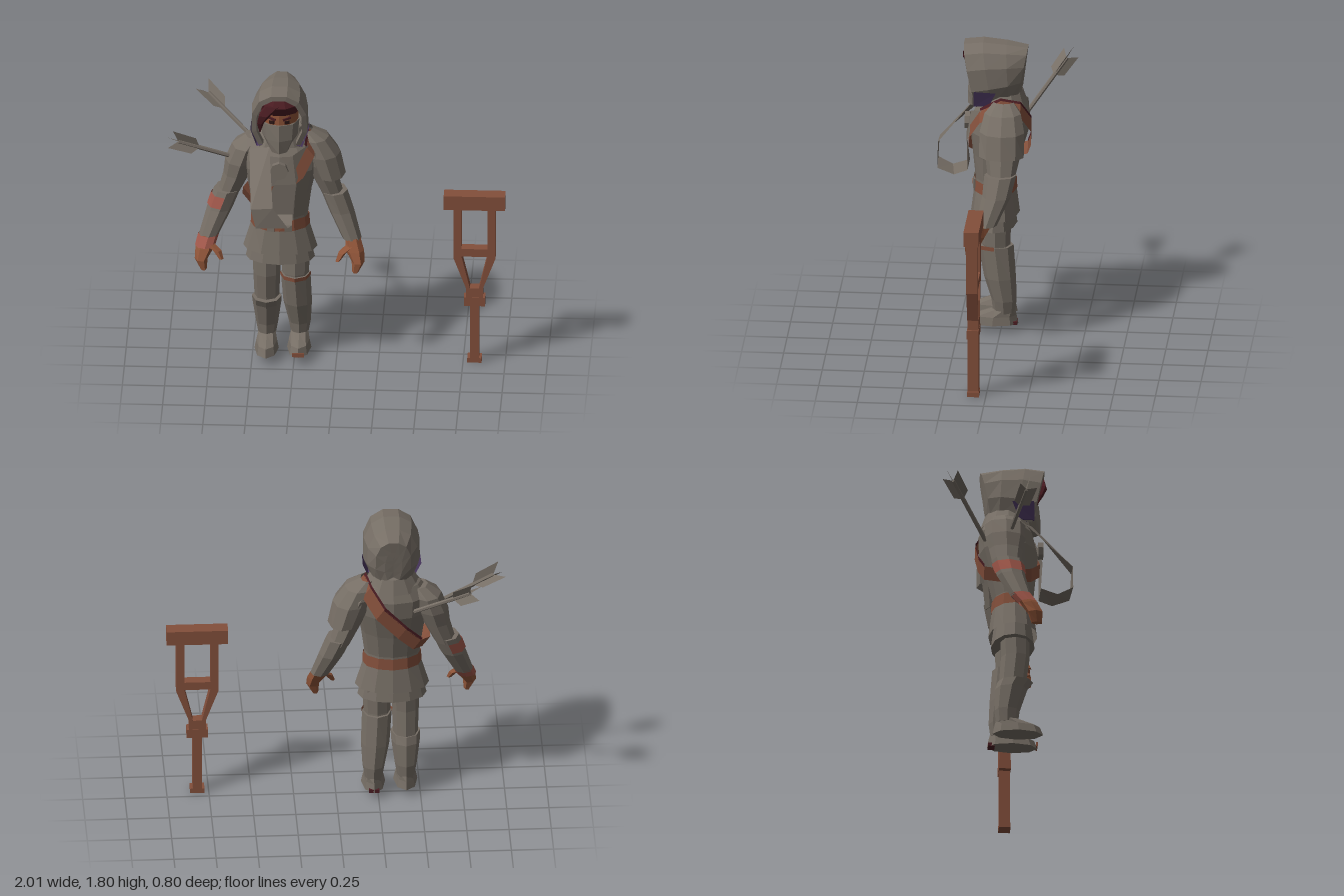
import * as THREE from 'three';

const mat = (name, color) => {
  const m = new THREE.MeshStandardMaterial({ color, flatShading: true, side: THREE.DoubleSide });
  m.name = name;
  return m;
};

export function createModel() {
  const cloth = mat('grey cloth', 0x766e65);
  const leather = mat('brown leather', 0x834f3b);
  const skinTone = mat('skin', 0x8f5438);
  const hairRed = mat('dark red', 0x4a1c22);
  const purple = mat('purple lining', 0x47355c);
  const bandage = mat('red bandage', 0xa0574a);
  const dark = mat('dark eye', 0x2c1614);

  const model = new THREE.Group();
  const figure = new THREE.Group();
  figure.name = 'figure';
  figure.position.x = -0.335;
  model.add(figure);

  const add = (name, geo, material, parent = figure) => {
    const m = new THREE.Mesh(geo, material);
    m.name = name;
    parent.add(m);
    return m;
  };
  // Surface through rows of points
  const skin = (rows, closed = false) => {
    const n = rows[0].length, idx = [];
    for (let r = 0; r < rows.length - 1; r++)
      for (let i = 0; i < (closed ? n : n - 1); i++) {
        const a = r * n + i, b = r * n + (i + 1) % n;
        idx.push(a, a + n, b, b, a + n, b + n);
      }
    const g = new THREE.BufferGeometry();
    g.setAttribute('position', new THREE.Float32BufferAttribute(rows.flat(2), 3));
    g.setIndex(idx);
    g.computeVertexNormals();
    return g;
  };
  // Horizontal ring from [y, x, z, rx, rz]
  const ring = ([y, x, z, rx, rz], n) => Array.from({ length: n }, (_, i) => {
    const a = i / n * Math.PI * 2;
    return [x + rx * Math.cos(a), y, z + rz * Math.sin(a)];
  });
  const loft = (rings, n = 8, capped = true) => {
    const cap = r => [r[0], r[1], r[2], 0, 0];
    const all = capped ? [cap(rings[0]), ...rings, cap(rings.at(-1))] : rings;
    return skin(all.map(r => ring(r, n)), true);
  };
  const box = (name, w, h, d, x, y, z, material, parent) => {
    const m = add(name, new THREE.BoxGeometry(w, h, d), material, parent);
    m.position.set(x, y, z);
    return m;
  };

  // Torso, collar, belt and two-layer tunic skirt
  add('torso', loft([[1.48, 0, -0.01, 0.1, 0.1], [1.44, 0, -0.01, 0.17, 0.125], [1.36, 0, 0, 0.23, 0.165],
    [1.25, 0, 0.015, 0.22, 0.175], [1.1, 0, 0.03, 0.185, 0.145], [0.95, 0, 0.04, 0.165, 0.12], [0.86, 0, 0.04, 0.165, 0.12]], 12), cloth);
  add('collar', loft([[1.5, 0, 0.005, 0.125, 0.13], [1.41, 0, 0, 0.18, 0.155]], 12, false), cloth);
  add('belt', loft([[0.94, 0, 0.04, 0.172, 0.126], [0.87, 0, 0.04, 0.176, 0.13]], 12, false), leather);
  for (const s of [-1, 1]) box('beltLoop', 0.045, 0.075, 0.008, s * 0.052, 0.905, 0.162, cloth).rotation.y = s * 0.2;
  add('buckle', new THREE.CylinderGeometry(0.018, 0.018, 0.008, 6).rotateX(Math.PI / 2), skinTone).position.set(0, 0.9, 0.172);
  add('upperSkirt', loft([[0.88, 0, 0.04, 0.172, 0.125], [0.72, 0, 0.04, 0.22, 0.145]], 12, false), cloth);
  add('lowerSkirt', loft([[0.8, 0, 0.04, 0.17, 0.11], [0.65, 0, 0.04, 0.205, 0.13]], 12), cloth);

  // Arms and hands
  for (const s of [-1, 1]) {
    const arm = new THREE.Group();
    arm.name = s > 0 ? 'leftArm' : 'rightArm';
    figure.add(arm);
    const limb = (name, rings, material, n = 8) =>
      add(name, loft(rings.map(([y, x, z, rx, rz]) => [y, s * x, z, rx, rz]), n), material, arm);
    limb('sleeve', [[1.42, 0.15, -0.02, 0.06, 0.07], [1.36, 0.2, -0.02, 0.09, 0.12], [1.26, 0.235, -0.02, 0.095, 0.12],
      [1.17, 0.26, -0.02, 0.08, 0.1], [1.04, 0.31, -0.02, 0.065, 0.08]], cloth);
    limb('bracer', [[1.07, 0.315, -0.015, 0.08, 0.095], [0.95, 0.36, 0.005, 0.076, 0.085], [0.79, 0.425, 0.06, 0.058, 0.062]], cloth);
    limb('palm', [[0.8, 0.43, 0.07, 0.045, 0.05], [0.73, 0.445, 0.11, 0.055, 0.05], [0.67, 0.465, 0.14, 0.038, 0.048],
      [0.61, 0.45, 0.15, 0.02, 0.035]], skinTone, 6);
    limb('thumb', [[0.76, 0.42, 0.11, 0.03, 0.03], [0.725, 0.37, 0.14, 0.025, 0.025], [0.68, 0.345, 0.16, 0.014, 0.018]], skinTone, 5);
  }
  // Shoulder cape on the left side, bandages on the right arm
  add('shoulderCape', loft([[1.47, 0.15, -0.02, 0.04, 0.06], [1.42, 0.2, -0.02, 0.085, 0.11], [1.32, 0.25, -0.02, 0.105, 0.135],
    [1.18, 0.295, -0.02, 0.09, 0.135]], 9, false), cloth);
  add('armBandage', skin([[1.04, -0.328, -0.011, 0.085, 0.098], [0.97, -0.353, 0.002, 0.083, 0.092]]
    .map(r => ring(r, 8).slice(2, 7))), bandage);
  add('wristBandage', loft([[0.8, -0.424, 0.06, 0.062, 0.066], [0.74, -0.443, 0.1, 0.06, 0.06]], 8, false), bandage);

  // Legs and boots: [side, hip x, foot x, z shift, boot top]
  for (const [s, hip, foot, dz, top] of [[-1, 0.08, 0.08, 0.015, 0.39], [1, 0.09, 0.112, -0.005, 0.54]]) {
    const leg = new THREE.Group();
    leg.name = s > 0 ? 'leftLeg' : 'rightLeg';
    figure.add(leg);
    const limb = (name, rings) => add(name, loft(rings.map(([y, x, z, rx, rz]) => [y, s * x, z + dz, rx, rz])), cloth, leg);
    limb('trouser', [[0.78, hip, 0.03, 0.085, 0.09], [0.55, hip, 0.035, 0.08, 0.085], [0.35, hip, 0.015, 0.072, 0.08]]);
    limb('boot', [[top, hip, 0.035, 0.088, 0.105], [0.34, (hip + foot) / 2, 0.01, 0.085, 0.095],
      [0.2, foot, -0.015, 0.066, 0.075], [0.12, foot, -0.015, 0.052, 0.065]]);
    limb('foot', [[0.14, foot, -0.01, 0.05, 0.07], [0.1, foot, 0.045, 0.062, 0.135], [0.05, foot, 0.05, 0.072, 0.15]]);
  }
  add('kneeBand', skin([[0.55, 0.09, 0.035, 0.092, 0.115], [0.525, 0.09, 0.035, 0.091, 0.112]]
    .map(r => ring(r, 8).slice(0, 5))), leather);
  box('toePatch', 0.07, 0.025, 0.009, 0.112, 0.066, 0.19, leather);
  box('heelPatch', 0.06, 0.02, 0.04, 0.112, 0.057, -0.08, hairRed);

  // Head: mask, eyes and hair
  add('face', loft([[1.68, 0, 0.08, 0.11, 0.1], [1.56, 0, 0.08, 0.108, 0.105]], 12), skinTone);
  add('mask', loft([[1.58, 0, 0.085, 0.115, 0.11], [1.48, 0, 0.09, 0.105, 0.115], [1.4, 0, 0.11, 0.06, 0.095]], 8), cloth);
  for (const s of [-1, 1]) {
    const eye = box('eye', 0.03, 0.02, 0.008, s * 0.045, 1.597, 0.175, dark);
    eye.rotation.y = s * 0.4;
    box('brow', 0.05, 0.012, 0.009, s * 0.045, 1.622, 0.177, hairRed).rotation.set(0, s * 0.4, s * 0.2);
  }
  add('hair', loft([[1.75, 0, 0.1, 0.09, 0.1], [1.71, 0, 0.1, 0.125, 0.135], [1.65, 0, 0.09, 0.118, 0.11]], 10), hairRed);
  add('hairLock', loft([[1.72, -0.03, 0.2, 0.06, 0.035], [1.66, -0.085, 0.205, 0.04, 0.035], [1.6, -0.112, 0.19, 0.022, 0.025],
    [1.53, -0.115, 0.17, 0.004, 0.004]], 5), hairRed);

  // Hood: arched sections from the inner rim to the pointed back
  const arch = [[-0.72, 0], [-1, 0.3], [-0.98, 0.65], [-0.72, 0.89], [-0.28, 1], [0.28, 1], [0.72, 0.89], [0.98, 0.65], [1, 0.3], [0.72, 0]];
  const hood = [ // half width, bottom y, top y, bottom z, top z
    [0.132, 1.45, 1.755, 0.12, 0.19], [0.135, 1.44, 1.76, 0.155, 0.225], [0.165, 1.42, 1.79, 0.145, 0.225], [0.168, 1.44, 1.803, 0.05, 0.11],
    [0.15, 1.47, 1.79, -0.05, -0.03], [0.105, 1.49, 1.77, -0.1, -0.155], [0.05, 1.5, 1.7, -0.12, -0.145], [0, 1.52, 1.66, -0.12, -0.14]];
  add('hood', skin(hood.map(([w, yb, yt, zb, zt]) =>
    arch.map(([u, v]) => [u * w, yb + (yt - yb) * v, zb + (zt - zb) * v]))), cloth);
  for (const s of [-1, 1])
    add('hoodLining', skin([
      [[s * 0.172, 1.535, 0.155], [s * 0.174, 1.53, 0.025]],
      [[s * 0.135, 1.43, 0.16], [s * 0.14, 1.43, 0.07]],
      [[s * 0.1, 1.44, 0.16], [s * 0.1, 1.43, 0.07]]]), purple);

  // Diagonal strap around the torso, with a dark edge over the back
  const path = [[-0.2, 1.03, 0.05], [-0.15, 1.06, 0.14], [0, 1.16, 0.2], [0.12, 1.27, 0.182], [0.18, 1.38, 0.12], [0.19, 1.45, 0],
    [0.16, 1.42, -0.12], [0.08, 1.3, -0.178], [-0.05, 1.16, -0.168], [-0.14, 1.07, -0.14], [-0.2, 1.03, -0.03], [-0.2, 1.03, 0.05]];
  const band = (pts, a, b) => skin([a, b].map(t => pts.map(([x, y, z]) => [x - 0.6 * t, y + 0.8 * t, z])));
  add('strap', band(path, -0.04, 0.04), leather);
  add('strapEdge', band(path.slice(4, 10), 0.035, 0.055), hairRed);

  // Empty sling hanging from the neck
  add('sling', skin([
    [[-0.18, 1.38, 0.1], [-0.06, 1.42, 0.15]],
    [[-0.16, 1.12, 0.385], [-0.03, 1.13, 0.385]],
    [[-0.13, 1, 0.39], [0.06, 1, 0.38]],
    [[-0.09, 0.97, 0.3], [0.08, 0.97, 0.28]],
    [[-0.1, 1, 0.2], [0.08, 1, 0.2]],
    [[-0.03, 1.2, 0.215], [0.1, 1.2, 0.2]],
    [[0.08, 1.38, 0.18], [0.17, 1.42, 0.11]]]), cloth);
  add('pendant', new THREE.CylinderGeometry(0.055, 0.055, 0.03, 8).rotateX(Math.PI / 2), cloth).position.set(0, 1.29, 0.205);

  // Arrows with three swept fletchings
  const fin = new THREE.ShapeGeometry(new THREE.Shape([[0, -0.17], [0.055, -0.12], [0.06, 0.03], [0, -0.03]].map(p => new THREE.Vector2(...p))));
  const up = new THREE.Vector3(0, 1, 0);
  for (const [from, to] of [[[-0.5, 1.235, -0.02], [-0.965, 1.42, 0.085]], [[-0.46, 1.29, -0.13], [-0.8, 1.54, -0.36]]]) {
    const a = new THREE.Vector3(...from), d = new THREE.Vector3(...to).sub(a);
    const arrow = new THREE.Group();
    arrow.name = 'arrow';
    arrow.position.copy(a);
    arrow.quaternion.setFromUnitVectors(up, d.clone().normalize());
    model.add(arrow);
    const len = d.length();
    add('shaft', new THREE.CylinderGeometry(0.013, 0.013, len - 0.03, 6), cloth, arrow).position.y = len / 2 - 0.015;
    for (let i = 0; i < 3; i++) {
      const f = add('fletching', fin, cloth, arrow);
      f.position.y = len;
      f.rotation.y = i * Math.PI * 2 / 3;
    }
  }

  // Crutch
  const crutch = new THREE.Group();
  crutch.name = 'crutch';
  crutch.position.set(0.818, 0, 0.075);
  model.add(crutch);
  const poly = pts => pts.map(p => new THREE.Vector2(...p));
  const mirror = pts => poly([...pts, ...pts.map(([x, y]) => [-x, y]).reverse()]);
  const frame = new THREE.Shape(mirror([[0.125, 1.02], [0.125, 0.69], [0.05, 0.49], [0.05, 0.42], [0.027, 0.38], [0.027, 0.02]]));
  frame.holes.push(new THREE.Path(mirror([[0.077, 1.01], [0.077, 0.75]])),
    new THREE.Path(mirror([[0.077, 0.7], [0.027, 0.49]])));
  add('crutchFrame', new THREE.ExtrudeGeometry(frame, { depth: 0.066, bevelEnabled: false }).translate(0, 0, -0.033), leather, crutch);
  box('armRest', 0.364, 0.09, 0.09, 0, 1.057, 0, leather, crutch);
  box('joint', 0.126, 0.055, 0.07, 0, 0.402, 0, leather, crutch);
  box('crutchFoot', 0.085, 0.03, 0.07, 0, 0.015, 0, leather, crutch);
  return model;
}
